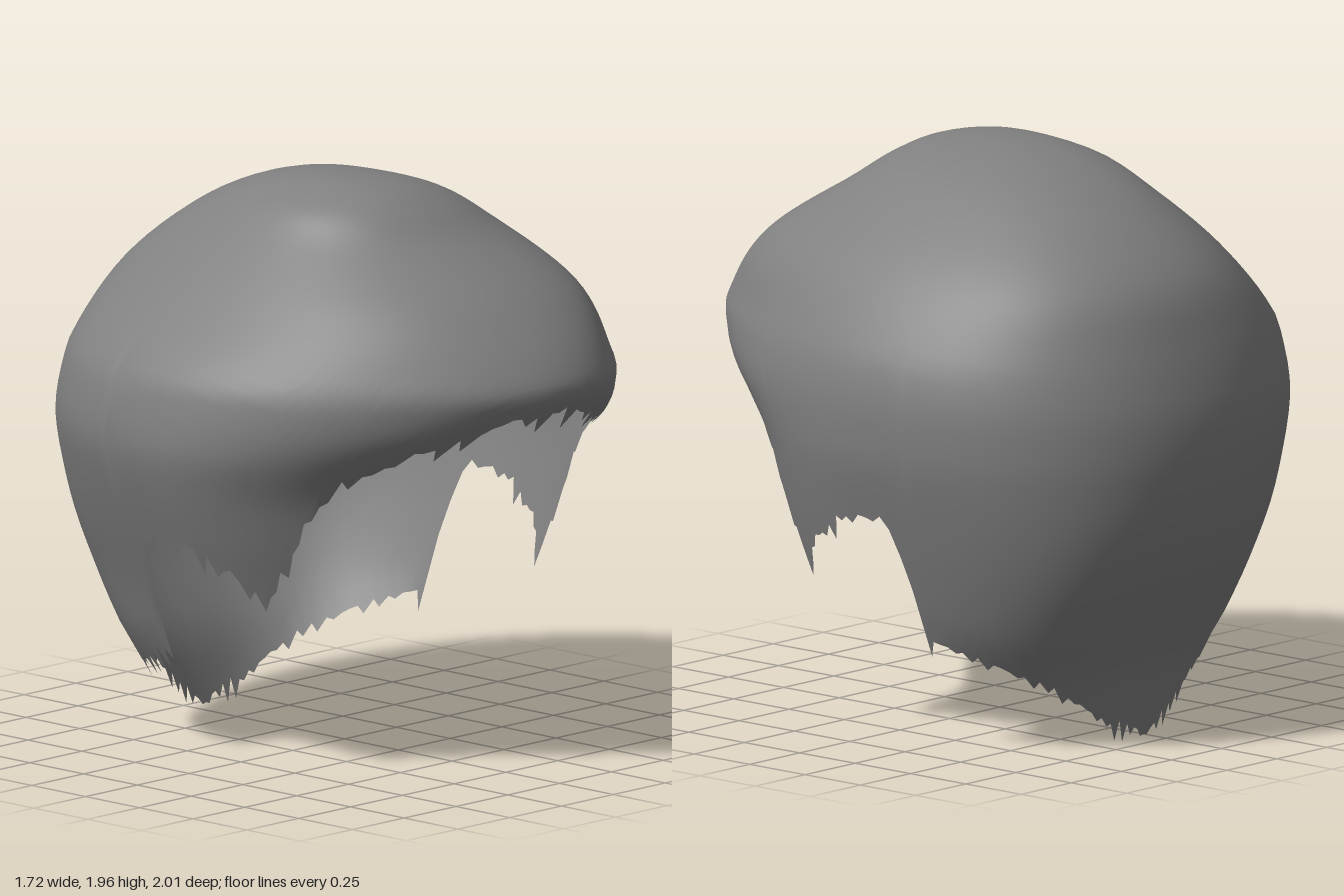
import * as THREE from 'three';

const TOP = 1.98;

// Cross-sections by height: y, centre x, centre z, half width, front reach, back reach
const SECTIONS = [
  [1.98, -0.06, 0.05, 0, 0, 0],
  [1.95, -0.03, 0.04, 0.19, 0.24, 0.28],
  [1.90, -0.01, 0.02, 0.315, 0.36, 0.42],
  [1.80, 0.02, -0.02, 0.44, 0.54, 0.58],
  [1.60, 0.03, -0.05, 0.65, 0.87, 0.79],
  [1.38, 0.00, -0.05, 0.82, 1.05, 0.89],
  [1.28, 0.00, -0.05, 0.85, 1.02, 0.92],
  [1.20, 0.00, -0.05, 0.86, 0.95, 0.94],
  [1.12, 0.00, -0.05, 0.86, 0.85, 0.95],
  [1.00, 0.01, -0.05, 0.84, 0.74, 0.95],
  [0.80, 0.02, -0.05, 0.78, 0.70, 0.92],
  [0.60, 0.03, -0.05, 0.71, 0.66, 0.85],
  [0.40, 0.03, -0.05, 0.64, 0.64, 0.75],
  [0.30, 0.03, -0.05, 0.58, 0.62, 0.70],
  [0.20, 0.03, -0.05, 0.52, 0.60, 0.67],
  [-0.08, 0.03, -0.05, 0.42, 0.55, 0.62],
].map(([y, ...v]) => [Math.sqrt(TOP - y), ...v]);

// Hem by angle from the front, left and right heights: fringe, sideburn, ear notch, nape
const HEM = [
  [0, 1.28, 1.28], [8, 1.26, 1.28], [15, 1.22, 1.27], [30, 1.18, 1.18], [37, 1.16, 1.11],
  [44, 1.13, 1.06], [52, 0.96, 0.90], [58, 0.77, 0.76], [64, 0.55, 0.64], [67, 0.62, 0.66],
  [72, 0.70, 0.70], [80, 0.76, 0.76], [90, 0.81, 0.81], [99, 0.81, 0.81], [103, 0.66, 0.66],
  [106, 0.39, 0.39], [118, 0.34, 0.33], [131, 0.29, 0.28], [145, 0.20, 0.25], [155, 0.11, 0.21],
  [165, 0.08, 0.16], [172, 0.05, 0.09], [180, 0.03, 0.03],
];

// Smooth interpolation of one table column
function smooth(table, u, col) {
  let i = 0;
  while (i < table.length - 2 && u > table[i + 1][0]) i++;
  const slope = (k) => {
    const a = table[Math.max(k - 1, 0)], b = table[Math.min(k + 1, table.length - 1)];
    return (b[col] - a[col]) / (b[0] - a[0]);
  };
  const [a, b] = [table[i], table[i + 1]];
  const h = b[0] - a[0], t = (u - a[0]) / h, t2 = t * t, t3 = t2 * t;
  return (2 * t3 - 3 * t2 + 1) * a[col] + (t3 - 2 * t2 + t) * h * slope(i)
    + (3 * t2 - 2 * t3) * b[col] + (t3 - t2) * h * slope(i + 1);
}

function hemHeight(deg) {
  const col = deg > 180 ? 2 : 1;
  const d = deg > 180 ? 360 - deg : deg;
  let i = 0;
  while (i < HEM.length - 2 && d > HEM[i + 1][0]) i++;
  const [a, b] = [HEM[i], HEM[i + 1]];
  return THREE.MathUtils.lerp(a[col], b[col], (d - a[0]) / (b[0] - a[0]));
}

// Fullness of the diagonals: tapered around the fringe, boxy behind the ears
function fullness(isLeft, isFront, y) {
  const { smoothstep } = THREE.MathUtils;
  if (isFront) {
    const taper = Math.exp(-(((y - 1.36) / 0.18) ** 2));
    return 0.035 * smoothstep(y, 1.4, 1.65) - 0.04 * taper;
  }
  const low = 1 - smoothstep(y, 0.4, 1.1);
  return isLeft ? 0.045 + 0.035 * low : 0.03 + 0.025 * low;
}

// Point on the hair shell at an angle and height
function shellPoint(theta, y) {
  const u = Math.sqrt(Math.max(TOP - y, 0));
  const [cx, cz, w, f, b] = [1, 2, 3, 4, 5].map((c) => smooth(SECTIONS, u, c));
  const s = Math.sin(theta), c = Math.cos(theta);
  const wave = 0.005 * Math.sin(5 * theta + 4 * y) * s * s;
  const r = 1 + fullness(s > 0, c > 0, y) * Math.sin(2 * theta) ** 2 + wave;
  const tip = c > 0 ? 0.07 * c * c * Math.min(u, 1) : 0; // fringe sits slightly to one side
  return [cx + tip + w * s * r, y, cz + (c > 0 ? f : b) * c * r];
}

function hairGeometry(columns, rows) {
  let seed = 7;
  const random = () => (seed = (seed * 16807) % 2147483647) / 2147483647;
  const position = [...shellPoint(0, TOP)], index = [];

  for (let i = 0; i < columns; i++) {
    const theta = (i / columns) * Math.PI * 2;
    const hem = hemHeight(THREE.MathUtils.radToDeg(theta));
    for (let j = 1; j <= rows; j++) {
      const y = TOP - (TOP - hem) * (j / rows) ** 1.6;
      const jag = j === rows ? 0.02 - random() * (i % 2 ? 0.09 : 0.03) : 0; // ragged strand ends
      position.push(...shellPoint(theta, Math.max(y + jag, 0)));
    }
  }
  for (let i = 0; i < columns; i++) {
    const a = 1 + i * rows, b = 1 + ((i + 1) % columns) * rows;
    index.push(0, a, b);
    for (let j = 0; j < rows - 1; j++) {
      index.push(a + j, a + j + 1, b + j, b + j, a + j + 1, b + j + 1);
    }
  }
  const geometry = new THREE.BufferGeometry();
  geometry.setAttribute('position', new THREE.Float32BufferAttribute(position, 3));
  geometry.setIndex(index);
  geometry.computeVertexNormals();
  return geometry;
}

export function createModel() {
  const group = new THREE.Group();
  group.name = 'hairpiece';
  const hairGrey = new THREE.MeshStandardMaterial({ color: 0x808080, side: THREE.DoubleSide });
  hairGrey.name = 'hairGrey';

  const hair = new THREE.Mesh(hairGeometry(180, 40), hairGrey);
  hair.name = 'hairShell';
  group.add(hair);
  return group;
}
